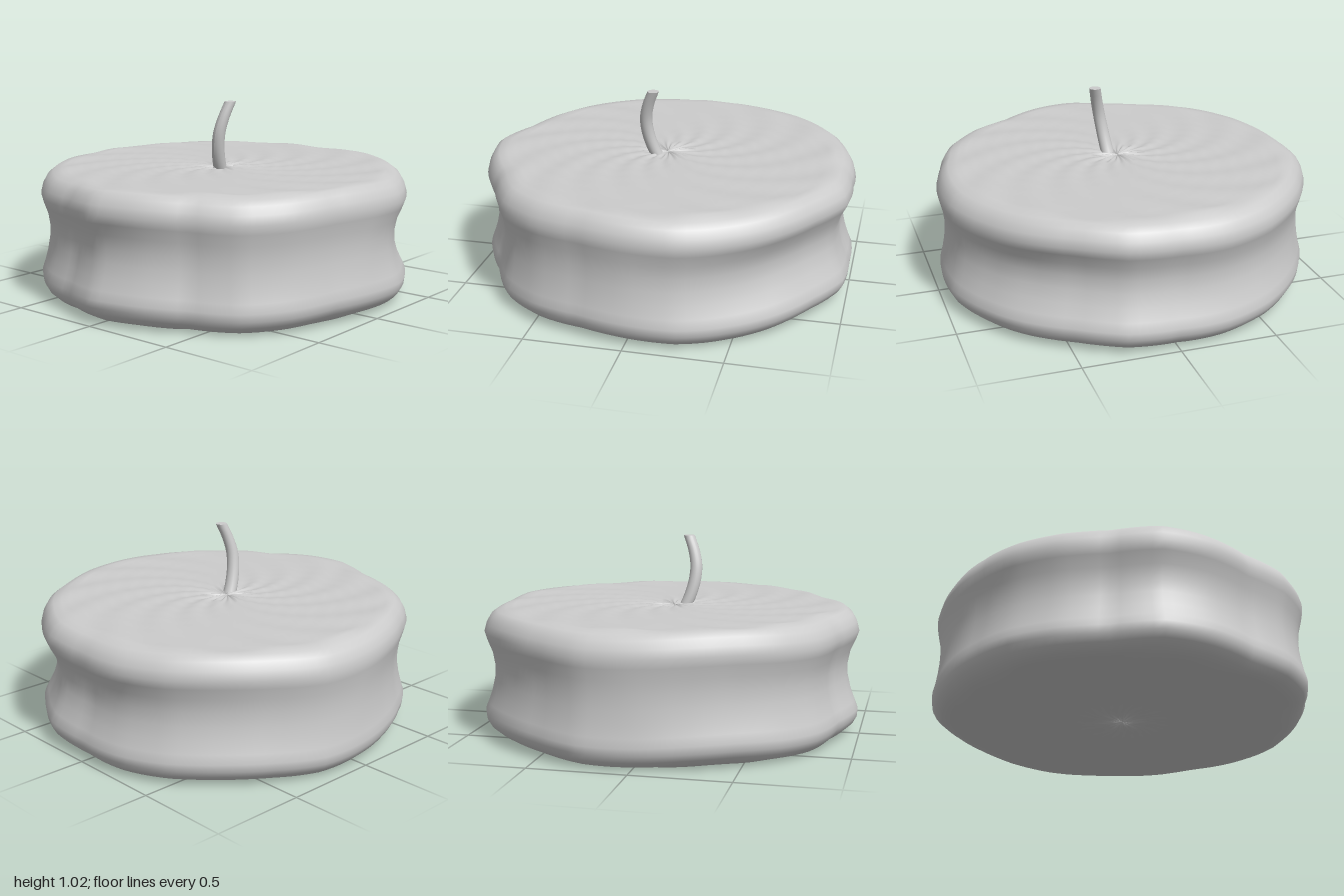
import * as THREE from 'three';

const COLUMNS = 120;
// Outline radius every 15 degrees, measured from +x towards +z
const OUTLINE = [0.985, 0.965, 0.985, 0.985, 0.946, 0.975, 0.995, 0.95, 0.97, 0.97, 0.955, 0.965,
  0.985, 1.01, 1.0, 1.01, 1.025, 1.02, 1.0, 1.025, 1.0, 1.0, 0.995, 1.005];
// Depth of the pinched waist every 45 degrees
const WAIST = [0.03, 0.03, 0.055, 0.04, 0.02, 0.04, 0.06, 0.075];

// Linear lookup in a closed ring of values
function ring(values, turn) {
  const p = turn * values.length;
  const i = Math.floor(p);
  return THREE.MathUtils.lerp(values[i % values.length], values[(i + 1) % values.length], p - i);
}

// Rows from bottom centre to top centre: [radius, height, waist, swirl]
function bodyRows() {
  const rows = [];
  const steps = [0.001, 0.03, 0.06, 0.1, 0.15, 0.22, 0.3, 0.38, 0.46, 0.54, 0.62, 0.7, 0.78, 0.84];
  for (const r of steps) rows.push([r, 0.006, 0, 0.004]);
  rows.push(
    [0.89, 0.006, 0, 0.002], [0.935, 0.02, 0, 0], [0.97, 0.05, 0, 0], [0.99, 0.085, 0, 0],
    [0.995, 0.125, 0, 0], [0.99, 0.17, 0.25, 0], [0.99, 0.23, 0.65, 0], [0.99, 0.3, 0.95, 0],
    [0.99, 0.37, 1, 0], [0.99, 0.44, 0.75, 0], [0.99, 0.5, 0.25, 0], [0.992, 0.545, 0, 0],
    [0.98, 0.59, 0, 0], [0.957, 0.63, 0, 0], [0.925, 0.654, 0, 0], [0.88, 0.664, 0, 0.003],
  );
  for (const r of steps.reverse()) rows.push([r, 0.663 - 0.008 * Math.exp(-r * 12), 0, 0.006]);
  return rows;
}

function bodyGeometry() {
  const rows = bodyRows();
  const position = [];
  const index = [];
  rows.forEach(([radius, height, waist, swirl], i) => {
    for (let j = 0; j < COLUMNS; j++) {
      const turn = j / COLUMNS;
      const a = turn * Math.PI * 2;
      const r = radius * ring(OUTLINE, turn) - waist * ring(WAIST, turn);
      // Spiral folds, with fine puckers at the middle
      const fold = swirl * Math.min(1, radius * 5) * Math.cos(14 * (a + 1.5 * radius));
      const pucker = swirl && radius < 0.12 && radius > 0.01 ? 0.004 * Math.cos(20 * a) : 0;
      // Gentle wave around the rounded edges
      const wave = swirl ? 0 : 0.008 * Math.sin(5 * a + 0.8);
      position.push(r * Math.cos(a), height + fold + pucker + wave, r * Math.sin(a));
      if (i < rows.length - 1) {
        const k = (j + 1) % COLUMNS;
        const p = i * COLUMNS + j, q = i * COLUMNS + k;
        index.push(p, p + COLUMNS, q, q, p + COLUMNS, q + COLUMNS);
      }
    }
  });
  const geometry = new THREE.BufferGeometry();
  geometry.setAttribute('position', new THREE.Float32BufferAttribute(position, 3));
  geometry.setIndex(index);
  geometry.computeVertexNormals();
  return geometry;
}

// Curved stalk that tapers and ends in a level cut
function stemGeometry() {
  const path = new THREE.CatmullRomCurve3([
    [0.035, 0.63, 0.045], [0.045, 0.7, 0.075], [0.057, 0.78, 0.097],
    [0.071, 0.86, 0.103], [0.088, 0.94, 0.087], [0.106, 1.02, 0.056],
  ].map((p) => new THREE.Vector3(...p)));
  const geometry = new THREE.CylinderGeometry(1, 1, 1, 20, 20);
  const position = geometry.attributes.position;
  for (let i = 0; i < position.count; i++) {
    const t = position.getY(i) + 0.5;
    const centre = path.getPoint(t);
    const r = 0.036 - 0.006 * t;
    position.setXYZ(i, centre.x + position.getX(i) * r, centre.y, centre.z + position.getZ(i) * r);
  }
  geometry.computeVertexNormals();
  return geometry;
}

export function createModel() {
  const group = new THREE.Group();
  const grey = new THREE.MeshStandardMaterial({ color: 0xcccccc });
  grey.name = 'light grey';

  const body = new THREE.Mesh(bodyGeometry(), grey);
  body.name = 'body';
  const stem = new THREE.Mesh(stemGeometry(), grey);
  stem.name = 'stem';
  group.add(body, stem);
  return group;
}
